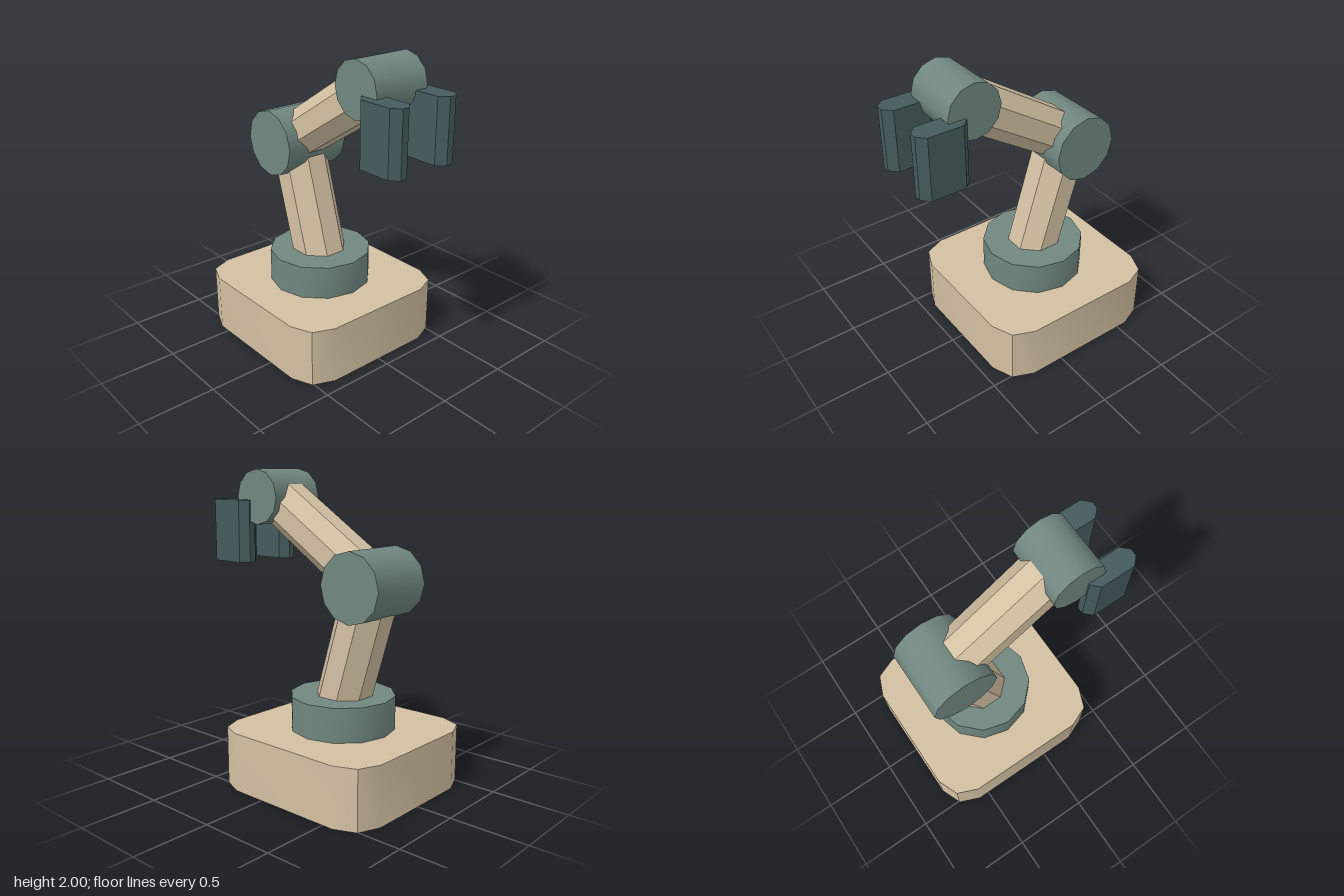
import * as THREE from 'three';
import { toCreasedNormals } from 'three/addons/utils/BufferGeometryUtils.js';

const CREASE = 0.6; // keeps 45 degree edges sharp, smooths the 12-sided drums

function material(name, color) {
  const m = new THREE.MeshStandardMaterial({ color });
  m.name = name;
  return m;
}

// Upright block with a rounded-rectangle footprint, standing on y = 0
function roundedBlock(width, depth, height, radius, steps) {
  const points = [];
  for (let corner = 0; corner < 4; corner++) {
    const sx = corner === 0 || corner === 3 ? 1 : -1;
    const sy = corner < 2 ? 1 : -1;
    for (let i = 0; i <= steps; i++) {
      const a = (corner + i / steps) * Math.PI / 2;
      points.push(new THREE.Vector2(
        sx * (width / 2 - radius) + radius * Math.cos(a),
        sy * (depth / 2 - radius) + radius * Math.sin(a)));
    }
  }
  const geo = new THREE.ExtrudeGeometry(new THREE.Shape(points), { depth: height, bevelEnabled: false });
  geo.rotateX(-Math.PI / 2);
  return toCreasedNormals(geo, CREASE);
}

export function createModel() {
  const tan = material('tan body', 0xd2c0a2);
  const teal = material('grey teal joint', 0x70877f);
  const dark = material('dark teal gripper', 0x445b5d);
  const model = new THREE.Group();
  model.name = 'robotArm';

  function add(name, geo, mat, x, y, z) {
    const mesh = new THREE.Mesh(geo, mat);
    mesh.name = name;
    mesh.position.set(x, y, z);
    model.add(mesh);
    return mesh;
  }

  // Twelve-sided drum lying along z
  function joint(name, radius, length, p) {
    const geo = new THREE.CylinderGeometry(radius, radius, length, 12).rotateX(Math.PI / 2);
    add(name, toCreasedNormals(geo, CREASE), teal, p.x, p.y, 0);
  }

  // Octagonal beam between two points in the xy plane
  function beam(name, a, b, apothem) {
    const r = apothem / Math.cos(Math.PI / 8);
    const geo = new THREE.CylinderGeometry(r, r, a.distanceTo(b), 8).rotateY(Math.PI / 8);
    const mesh = add(name, toCreasedNormals(geo, CREASE), tan, (a.x + b.x) / 2, (a.y + b.y) / 2, 0);
    mesh.rotation.z = Math.atan2(b.y - a.y, b.x - a.x) - Math.PI / 2;
  }

  const shoulder = new THREE.Vector2(-0.16, 0.5);
  const elbow = new THREE.Vector2(-0.405, 1.32);
  const wrist = new THREE.Vector2(0.385, 1.825);

  // Base and turntable
  add('base', roundedBlock(1.19, 1.13, 0.38, 0.195, 2), tan, -0.175, 0, 0);
  add('turntable', toCreasedNormals(new THREE.CylinderGeometry(0.337, 0.337, 0.22, 12), CREASE),
    teal, -0.175, 0.49, 0);

  // Arm segments and joints
  beam('lowerArm', shoulder, elbow, 0.164);
  joint('elbowJoint', 0.218, 0.456, elbow);
  beam('upperArm', elbow, wrist, 0.15);
  joint('wristJoint', 0.175, 0.392, wrist);

  // Gripper fingers
  for (const side of [1, -1]) {
    add(side > 0 ? 'frontFinger' : 'backFinger', roundedBlock(0.324, 0.144, 0.402, 0.049, 1),
      dark, 0.606, 1.403, side * 0.182);
  }

  return model;
}
